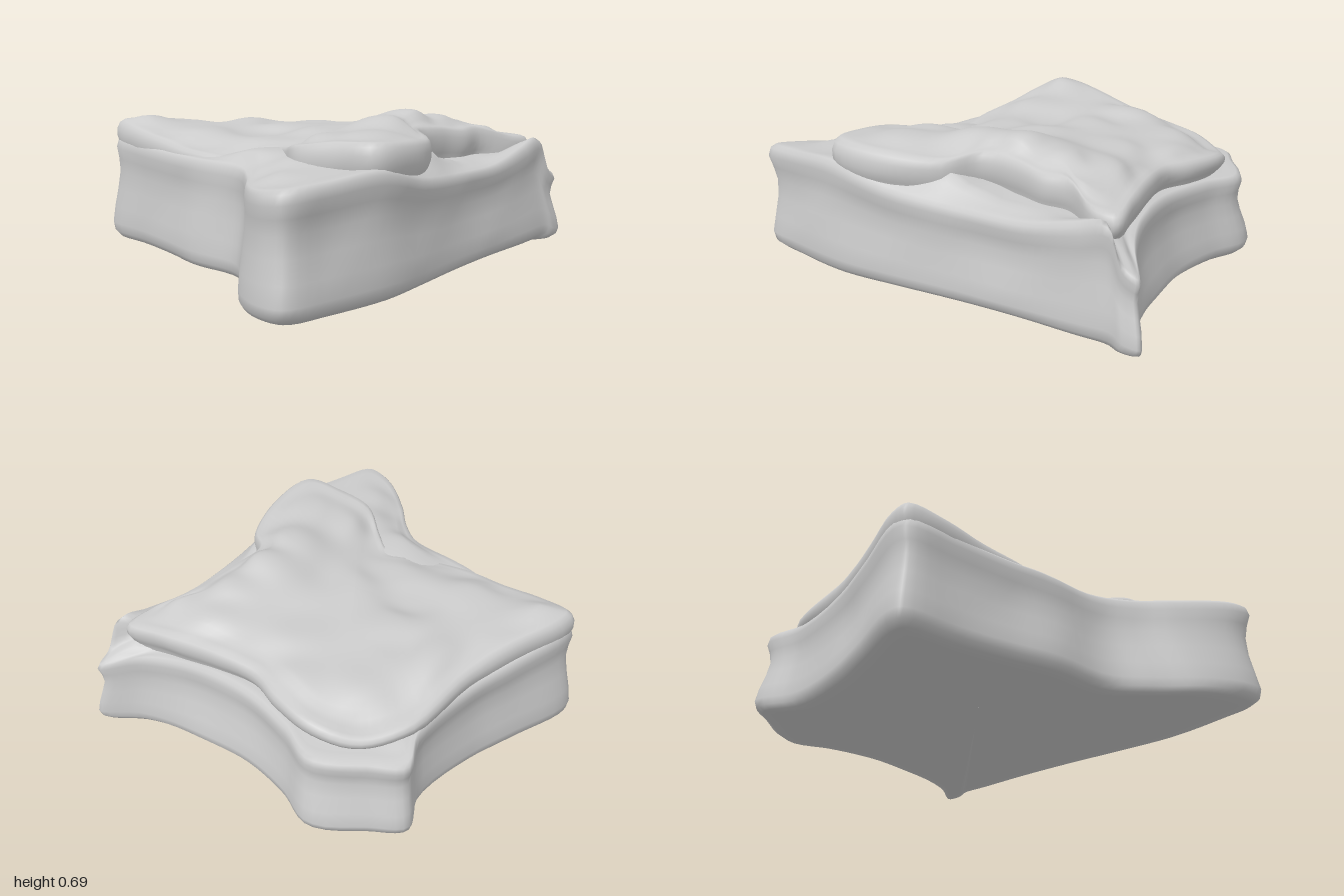
import * as THREE from 'three';

const SIDES = 140;

// Plan outlines, each point as [x, z, height of the rim, inward lean]
const BLOCK = [
  [-0.56, -0.86, 0.53, 0.02], [-0.49, -0.88, 0.54, 0.02], [-0.2, -0.81, 0.5, 0.01], [0.05, -0.75, 0.47, 0], [0.38, -0.74, 0.43, 0],
  [0.55, -0.83, 0.4, 0.02], [0.67, -0.71, 0.4, 0.03], [0.82, -0.5, 0.4, 0.04], [0.77, -0.3, 0.41, 0.05], [0.75, -0.05, 0.42, 0.06],
  [0.79, 0.2, 0.43, 0.07], [0.83, 0.38, 0.42, 0.05], [0.9, 0.55, 0.4, 0.02], [1.01, 0.7, 0.35, 0.01], [0.95, 0.72, 0.39, 0.02],
  [0.87, 0.71, 0.53, 0.02], [0.72, 0.72, 0.5, 0.02], [0.45, 0.73, 0.45, 0], [0.2, 0.76, 0.45, 0], [-0.2, 0.83, 0.48, 0],
  [-0.5, 0.88, 0.55, 0], [-0.8, 0.86, 0.54, 0], [-0.99, 0.82, 0.53, 0], [-1.01, 0.7, 0.51, 0.02], [-0.95, 0.53, 0.49, 0.08],
  [-0.79, 0.35, 0.49, 0.08], [-0.67, 0.18, 0.5, 0.05], [-0.67, -0.12, 0.5, 0.06], [-0.62, -0.35, 0.5, 0.03], [-0.58, -0.6, 0.51, 0],
];
const SLAB = [
  [-0.53, -0.83, 0.61], [-0.47, -0.84, 0.61], [-0.2, -0.77, 0.59], [0.05, -0.72, 0.55], [0.4, -0.71, 0.49], [0.6, -0.61, 0.46],
  [0.7, -0.42, 0.5], [0.69, -0.2, 0.52], [0.65, -0.03, 0.53], [0.71, 0.18, 0.55], [0.78, 0.42, 0.55],
  [0.83, 0.61, 0.54], [0.72, 0.62, 0.55], [0.55, 0.54, 0.6], [0.42, 0.55, 0.6], [0.28, 0.53, 0.62], [0.1, 0.54, 0.63],
  [0, 0.68, 0.61], [-0.25, 0.81, 0.63], [-0.5, 0.83, 0.65], [-0.55, 0.65, 0.64], [-0.57, 0.45, 0.61],
  [-0.46, 0.27, 0.57], [-0.4, 0.15, 0.55], [-0.52, 0.0, 0.51], [-0.57, -0.2, 0.52], [-0.56, -0.45, 0.55], [-0.56, -0.65, 0.58],
];

// Extra height marks [x, z, y] across each top
const BLOCK_MARKS = [
  [0, 0, 0.5], [0.3, 0.6, 0.47], [0.15, 0.64, 0.5], [0.02, 0.66, 0.56], [-0.22, 0.76, 0.56], [0.5, 0.62, 0.47],
  [-0.7, 0.6, 0.54], [-0.5, 0.45, 0.56], [-0.46, 0.18, 0.56], [0, -0.5, 0.46], [-0.4, -0.5, 0.5], [0.4, -0.4, 0.42],
];
const SLAB_MARKS = [
  [0.2, 0.4, 0.7], [0.4, 0.38, 0.66], [0, 0.45, 0.69], [-0.3, 0.6, 0.66], [-0.35, 0.4, 0.64],
  [0, 0.05, 0.6], [-0.25, 0, 0.57], [0.4, 0, 0.59], [-0.15, -0.22, 0.55], [0.08, -0.28, 0.59], [0.15, -0.4, 0.56],
  [0.08, -0.55, 0.59], [0.4, -0.4, 0.56], [0.55, -0.2, 0.56], [-0.35, -0.4, 0.59], [-0.45, -0.75, 0.64], [0.55, 0.3, 0.62],
];

// Weighted blend of the nearest height marks
function heightAt(x, z, marks) {
  let sum = 0, total = 0;
  for (const [mx, mz, my] of marks) {
    const w = 1 / (((x - mx) ** 2 + (z - mz) ** 2 + 0.004) ** 1.8);
    sum += w * my;
    total += w;
  }
  return sum / total;
}

// Weathered surface with soft hollows and creased ridges
const bump = (x, y, z) =>
  Math.sin(8 * x + 5 * y + 1) * Math.sin(7 * z - 9 * y) +
  0.8 * (0.5 - Math.abs(Math.sin(6 * x - 8 * y + 7 * z)));

// Stone from rings: walls [scale, y share from base to rim], then a domed top
function stone(name, outline, marks, base, walls, roughness) {
  const plan = new THREE.CatmullRomCurve3(
    outline.map(([x, z, y]) => new THREE.Vector3(x, y, z)), true, 'centripetal');
  const rim = Array.from({ length: SIDES }, (_, j) => {
    const t = j / SIDES * outline.length, i = Math.floor(t);
    const leanA = outline[i][3] ?? 0, leanB = outline[(i + 1) % outline.length][3] ?? 0;
    return { p: plan.getPoint(j / SIDES), lean: THREE.MathUtils.lerp(leanA, leanB, t - i) };
  });
  const allMarks = [...outline, ...marks];
  const positions = [], indices = [];

  const addRing = (place) => rim.forEach(({ p, lean }) => positions.push(...place(p, lean)));
  for (const [scale, share] of walls) {
    addRing((p, lean) => {
      const y = base + (p.y - base) * share;
      const s = scale * (1 - lean * share) * (1 + roughness * bump(p.x, y, p.z) * Math.min(1, share * 4));
      return [p.x * s, y, p.z * s];
    });
  }
  const last = walls[walls.length - 1][0];
  const topRings = 24;
  for (let i = 1; i <= topRings; i++) {
    const k = 1 - i / topRings;
    addRing((p, lean) => {
      const s = last * k * (1 - lean) * (1 + roughness * bump(p.x, p.y, p.z) * k);
      const x = p.x * s, z = p.z * s;
      const lift = heightAt(x, z, allMarks) + 0.004 * bump(x, 0, z) * (1 - k);
      return [x, THREE.MathUtils.lerp(p.y, lift, Math.min(1, i / 3)), z];
    });
  }

  const rings = positions.length / 3 / SIDES;
  for (let i = 0; i < rings - 1; i++) {
    for (let j = 0; j < SIDES; j++) {
      const a = i * SIDES + j, b = i * SIDES + (j + 1) % SIDES;
      indices.push(a, a + SIDES, b, b, a + SIDES, b + SIDES);
    }
  }
  const geometry = new THREE.BufferGeometry();
  geometry.setAttribute('position', new THREE.Float32BufferAttribute(positions, 3));
  geometry.setIndex(indices);
  geometry.computeVertexNormals();
  const mesh = new THREE.Mesh(geometry, new THREE.MeshStandardMaterial({ color: 0xcccccc }));
  mesh.name = name;
  return mesh;
}

export function createModel() {
  const group = new THREE.Group();
  group.name = 'rock';

  // Broad lower block with a slight waist, leaning in along its long sides
  group.add(stone('lowerBlock', BLOCK, BLOCK_MARKS, 0, [
    [0, 0.015], [0.5, 0.03], [0.88, 0.055], [0.955, 0.07], [0.985, 0.12], [0.995, 0.2], [0.985, 0.35],
    [0.968, 0.52], [0.958, 0.68], [0.968, 0.8], [0.983, 0.9], [0.975, 0.97], [0.955, 1],
  ], 0.006));

  // Upper slab, overhanging at the front and left and settling onto the block elsewhere
  group.add(stone('upperSlab', SLAB, SLAB_MARKS, 0.32, [
    [0, 0], [0.95, 0], [0.955, 0.3], [0.965, 0.48], [0.99, 0.6],
    [1.005, 0.72], [1.005, 0.85], [0.99, 0.95], [0.965, 1],
  ], 0.008));
  return group;
}
